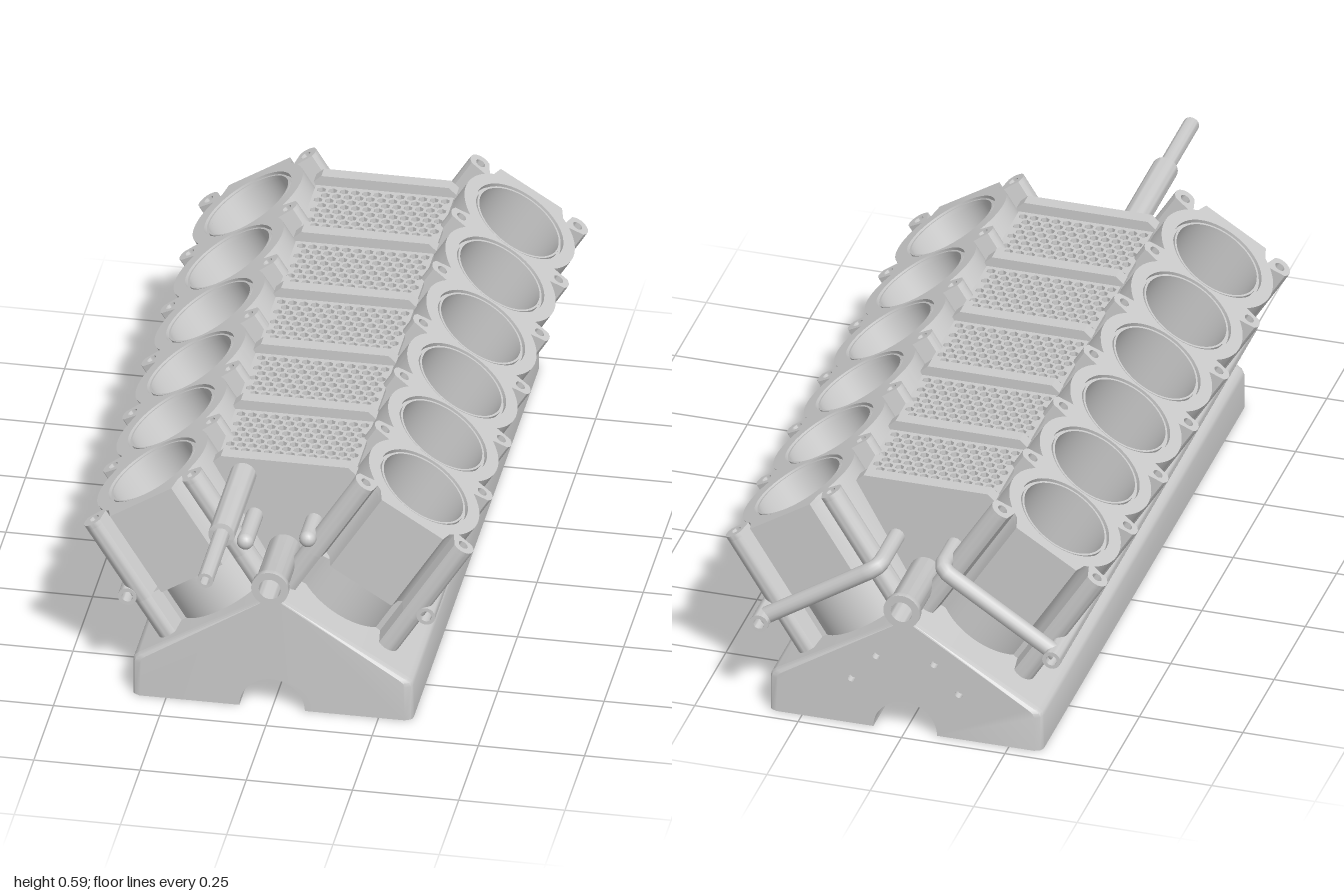
import * as THREE from 'three';
import { toCreasedNormals } from 'three/addons/utils/BufferGeometryUtils.js';

const PITCH = 0.244, CYLS = 6, HALF = PITCH * CYLS / 2;
const BOSS_U = 0.135, BOSS_R = 0.028;
const TILT = 0.562, DECK_X = 0.3165, DECK_Y = 0.4975;

const mat = new THREE.MeshStandardMaterial({ color: 0xcccccc, side: THREE.DoubleSide });

function add(parent, name, geo, x = 0, y = 0, z = 0) {
  const m = new THREE.Mesh(geo, mat);
  m.name = name;
  m.position.set(x, y, z);
  parent.add(m);
  return m;
}

const shapeOf = pts => new THREE.Shape(pts.map(p => new THREE.Vector2(...p)));
const hole = (x, y, r) => new THREE.Path().absarc(x, y, r, 0, Math.PI * 2, true);
const extrude = (shape, depth, curveSegments = 20) => toCreasedNormals(
  new THREE.ExtrudeGeometry(shape, { depth, bevelEnabled: false, curveSegments }), 0.6);

// Hollow pipe along z: profile pairs [radius, z], closed over the inner wall
function pipe(profile, inner) {
  const z0 = profile[0][1], z1 = profile[profile.length - 1][1];
  const pts = [[inner, z0], ...profile, [inner, z1], [inner, z0]];
  const g = new THREE.LatheGeometry(pts.map(p => new THREE.Vector2(...p)), 28);
  return toCreasedNormals(g.rotateX(Math.PI / 2), 0.6);
}

// Scalloped plan of a cylinder bank: cylinder walls plus bolt columns
function bankShape(R, flatEnd, boreR, boltHoles) {
  const arc = (r, d) => Math.abs(d) < r ? Math.sqrt(r * r - d * d) : -1;
  const sideU = z => {
    let u = 0;
    for (let i = 0; i < CYLS; i++) u = Math.max(u, arc(R, z + HALF - PITCH * (i + 0.5)));
    for (let i = 0; i <= CYLS; i++) u = Math.max(u, BOSS_U + arc(BOSS_R, z + HALF - PITCH * i));
    return u;
  };
  const endZ = u => Math.max(
    HALF - PITCH / 2 + arc(R, u),
    HALF + arc(BOSS_R, Math.abs(u) - BOSS_U),
    flatEnd && Math.abs(u) < 0.09 ? HALF + BOSS_R : 0);
  const half = [], N = CYLS * 26, M = 40, W = BOSS_U + BOSS_R;
  for (let i = 0; i <= N; i++) {
    const z = -HALF + 2 * HALF * i / N;
    half.push([sideU(z), z]);
  }
  for (let i = 1; i < M; i++) {
    const u = W * Math.cos(Math.PI * i / M);
    half.push([u, endZ(u)]);
  }
  const s = shapeOf([...half, ...half.map(([u, z]) => [-u, -z])]);
  for (let i = 0; i < CYLS; i++) s.holes.push(hole(0, -HALF + PITCH * (i + 0.5), boreR));
  if (boltHoles) for (let i = 0; i <= CYLS; i++)
    for (const k of [-1, 1]) s.holes.push(hole(k * BOSS_U, -HALF + PITCH * i, 0.012));
  return s;
}

function cylinderBank() {
  const bank = new THREE.Group();
  const layer = (name, shape, top, depth) =>
    add(bank, name, extrude(shape, depth, 24).rotateX(Math.PI / 2), 0, -top, 0);
  layer('deck', bankShape(0.15, true, 0.119, true), 0, 0.012);
  layer('waterJacket', bankShape(0.15, true, 0.108, true), 0.012, 0.215);
  layer('lowerBarrels', bankShape(0.134, false, 0.108, false), 0.227, 0.118);
  // Raised liner lips around the bores
  for (let i = 0; i < CYLS; i++) {
    const ring = new THREE.Shape().absarc(0, 0, 0.113, 0, Math.PI * 2);
    ring.holes.push(hole(0, 0, 0.108));
    add(bank, 'linerLip', extrude(ring, 0.01, 24).rotateX(Math.PI / 2),
      0, -0.003, -HALF + PITCH * (i + 0.5));
  }
  return bank;
}

// Honeycomb plate with through holes
function honeycomb(w, d) {
  const s = shapeOf([[-w / 2, -d / 2], [w / 2, -d / 2], [w / 2, d / 2], [-w / 2, d / 2]]);
  const r = 0.0135, dx = 0.0265, dy = dx * 0.866;
  const rows = Math.floor((d - 2 * r) / dy) + 1;
  for (let j = 0; j < rows; j++) {
    const n = j % 2 ? 11 : 12, y = (j - (rows - 1) / 2) * dy;
    for (let i = 0; i < n; i++) {
      const x = (i - (n - 1) / 2) * dx, p = [];
      for (let k = 0; k < 6; k++) {
        const a = -Math.PI / 3 * k + Math.PI / 6;
        p.push(new THREE.Vector2(x + r * 0.82 * Math.cos(a), y + r * 0.82 * Math.sin(a)));
      }
      s.holes.push(new THREE.Path(p));
    }
  }
  return new THREE.ExtrudeGeometry(s, { depth: 0.01, bevelEnabled: false }).rotateX(Math.PI / 2);
}

function crankcase() {
  const g = new THREE.Group();
  const outer = [[0.33, 0], [0.33, 0.088], [0.326, 0.098], [0.316, 0.106], [0, 0.297],
    [-0.316, 0.106], [-0.326, 0.098], [-0.33, 0.088], [-0.33, 0]];
  const inner = [[0.305, 0], [0.305, 0.08], [0, 0.26], [-0.305, 0.08], [-0.305, 0]];
  const arched = pts => {
    const s = shapeOf(pts);
    s.lineTo(-0.077, 0);
    s.absarc(0, 0, 0.077, Math.PI, 0, true);
    return s;
  };
  const front = 0.67, back = -0.97, cap = 0.02;
  add(g, 'crankcaseShell', extrude(shapeOf([...outer, ...[...inner].reverse()]),
    front - back - 2 * cap), 0, 0, back + cap);

  // End caps with rounded vertical corners
  for (const end of [1, -1]) {
    const s = arched(outer);
    if (end < 0) for (const [x, y] of [[0.13, 0.12], [-0.13, 0.12], [0.07, 0.19], [-0.07, 0.19]])
      s.holes.push(hole(x, y, 0.009));
    const geo = new THREE.ExtrudeGeometry(s, { depth: cap, steps: 3, bevelEnabled: false, curveSegments: 20 });
    const p = geo.attributes.position;
    for (let i = 0; i < p.count; i++) {
      const t = (end > 0 ? p.getZ(i) : cap - p.getZ(i)) / cap;
      if (Math.abs(p.getX(i)) > 0.3)
        p.setX(i, p.getX(i) - Math.sign(p.getX(i)) * 0.018 * (1 - Math.sqrt(Math.max(0, 1 - t * t))));
    }
    add(g, 'endWall', toCreasedNormals(geo, 0.6), 0, 0, end > 0 ? front - cap : back);
  }

  // Main bearing bulkheads and their bolt spots
  for (let i = 0; i <= CYLS; i++) {
    let z0 = 0.585 - PITCH * i - 0.055, z1 = z0 + 0.11;
    if (i === 0) z1 = front - cap;
    if (i === CYLS) z0 = back + cap;
    add(g, 'bearingBulkhead', extrude(arched(inner), z1 - z0), 0, 0, z0);
    for (const x of [-0.29, -0.12, 0.12, 0.29])
      add(g, 'boltSpot', new THREE.CylinderGeometry(0.009, 0.009, 0.004, 12), x, 0.001, (z0 + z1) / 2);
  }
  return g;
}

export function createModel() {
  const model = new THREE.Group();
  model.name = 'engineBlock';
  const crank = crankcase();
  crank.name = 'crankcase';
  model.add(crank);

  for (const side of [1, -1]) {
    const zc = side > 0 ? -0.165 : -0.128;
    const name = side > 0 ? 'left' : 'right';
    const bank = cylinderBank();
    bank.name = name + 'CylinderBank';
    bank.position.set(side * DECK_X, DECK_Y, zc);
    bank.rotation.z = -side * TILT;
    model.add(bank);

    // Outer coolant rail
    add(model, name + 'OuterRail', pipe([[0.022, zc - 0.825], [0.022, zc + 0.76]], 0.013),
      side * 0.348, 0.24, 0);

    // Inner rail bending outward across the back of the bank
    const zb = zc - 0.79;
    const path = new THREE.CurvePath();
    const v = (x, y, z) => new THREE.Vector3(side * x, y, z);
    path.add(new THREE.LineCurve3(v(0.07, 0.42, zc + 0.76), v(0.07, 0.42, zb + 0.03)));
    path.add(new THREE.QuadraticBezierCurve3(v(0.07, 0.42, zb + 0.03), v(0.07, 0.42, zb), v(0.095, 0.404, zb)));
    path.add(new THREE.LineCurve3(v(0.095, 0.404, zb), v(0.348, 0.24, zb)));
    add(model, name + 'InnerRail', new THREE.TubeGeometry(path, 120, 0.02, 14));
    add(model, name + 'RailNose', new THREE.SphereGeometry(0.02, 16, 12), side * 0.07, 0.42, zc + 0.76);
  }

  // Valley ribs with honeycomb trays between them
  const rib = shapeOf([[0.02, 0.285], [0.168, 0.553], [0.15, 0.57],
    [-0.15, 0.57], [-0.168, 0.553], [-0.02, 0.285]]);
  rib.holes.push(hole(0, 0.337, 0.03));
  for (let i = 0; i < 6; i++) {
    const z = 0.495 - i * 0.257;
    add(model, 'valleyRib', extrude(rib, 0.034), 0, 0, z - 0.017);
    if (i < 5) add(model, 'honeycombTray', honeycomb(0.325, 0.225), 0, 0.545, z - 0.1285);
  }

  // Central tube with end lips
  add(model, 'centralTube', pipe([[0.044, -1], [0.044, -0.985], [0.038, -0.975],
    [0.038, 0.675], [0.044, 0.685], [0.044, 0.7]], 0.026), 0, 0.337, 0);

  // Stepped front pipe
  add(model, 'frontPipe', pipe([[0.031, 0.5], [0.031, 0.79], [0.019, 0.792], [0.019, 1]], 0.011),
    -0.097, 0.526, 0);

  return model;
}
